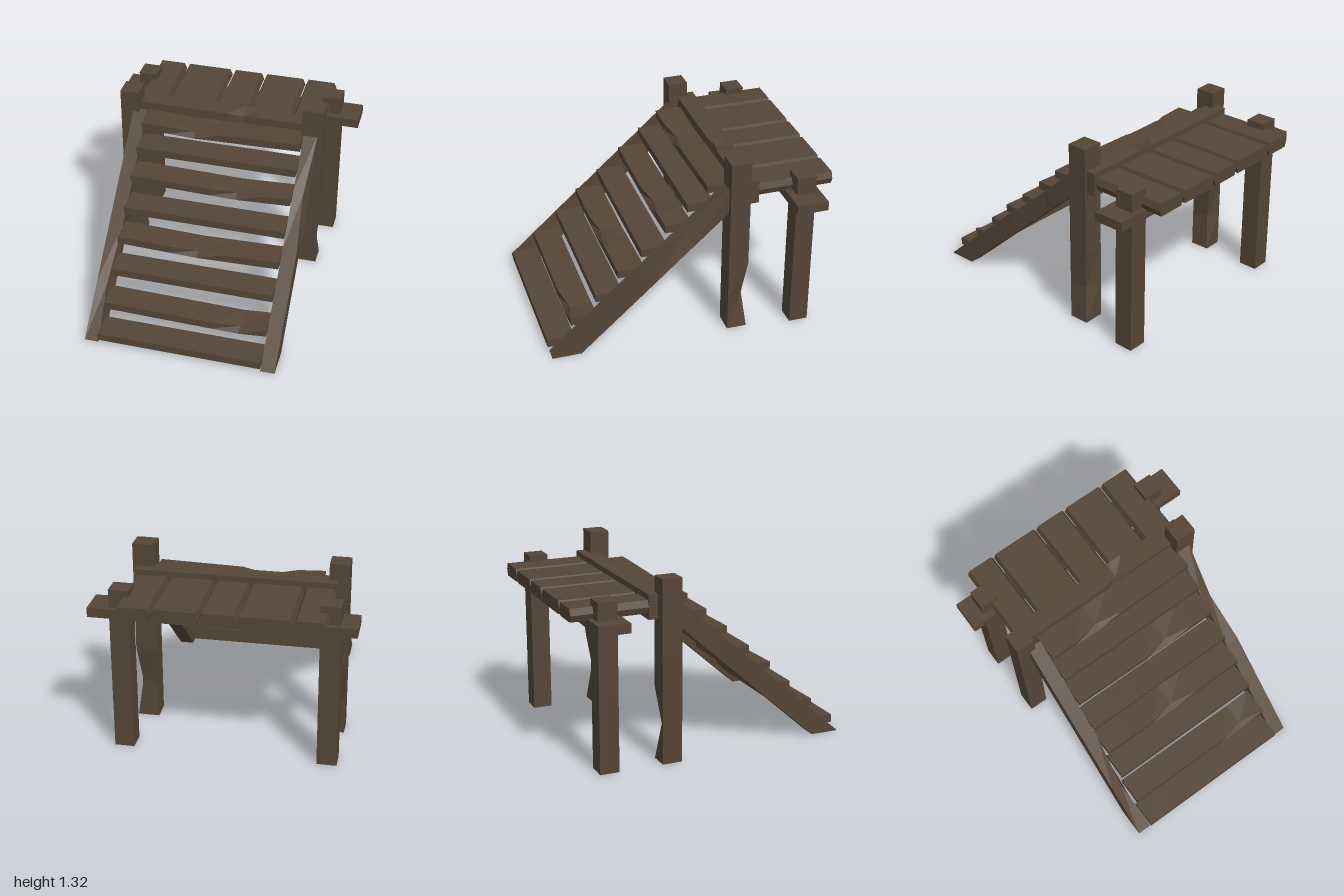
import * as THREE from 'three';

const wood = new THREE.MeshStandardMaterial({ color: 0x554536 });
wood.name = 'dark wood';

// Box between two corners, subdivided, with each vertex moved by a rule; faceted normals
function timber(name, [x0, y0, z0], [x1, y1, z1], segs = [1, 1, 1], rule) {
  let geo = new THREE.BoxGeometry(x1 - x0, y1 - y0, z1 - z0, ...segs);
  geo.translate((x0 + x1) / 2, (y0 + y1) / 2, (z0 + z1) / 2);
  if (rule) {
    const pos = geo.attributes.position;
    const p = new THREE.Vector3();
    for (let i = 0; i < pos.count; i++) {
      p.fromBufferAttribute(pos, i);
      rule(p);
      pos.setXYZ(i, p.x, p.y, p.z);
    }
  }
  geo = geo.toNonIndexed();
  geo.computeVertexNormals();
  const mesh = new THREE.Mesh(geo, wood);
  mesh.name = name;
  return mesh;
}

const near = (a, b) => Math.abs(a - b) < 0.005;

export function createModel() {
  const model = new THREE.Group();
  model.name = 'woodenStairPlatform';

  // Tall front posts, chipped low on the inner back corner
  for (const [name, x0, x1, top] of [['frontPostRight', -0.78, -0.645, 1.27], ['frontPostLeft', 0.55, 0.7, 1.315]]) {
    model.add(timber(name, [x0, 0, -0.4], [x1, top, -0.26], [1, 5, 1], p => {
      if (near(p.y, top / 5) && near(p.x, x1) && near(p.z, -0.4)) {
        p.x -= 0.035;
        p.z += 0.035;
      }
    }));
  }

  // Back posts and the beam they carry
  model.add(timber('backPostRight', [-0.78, 0, -0.845], [-0.645, 1.165, -0.71]));
  model.add(timber('backPostLeft', [0.615, 0, -0.845], [0.75, 1.165, -0.71]));
  model.add(timber('backBeam', [-0.89, 0.975, -0.88], [0.89, 1.04, -0.66]));

  // Front beam with a chip in its upper front edge
  model.add(timber('frontBeam', [-0.705, 0.99, -0.465], [0.68, 1.158, -0.33], [12, 1, 1], p => {
    if (near(p.x, 0.103) && p.y > 1.1 && p.z > -0.4) {
      p.y -= 0.03;
      p.z -= 0.035;
    }
  }));

  // Deck planks with bevelled long edges
  const edges = [-0.71, -0.49, -0.13, 0.115, 0.432, 0.67];
  for (let i = 0; i < 5; i++) {
    const x0 = edges[i] + 0.003, x1 = edges[i + 1] - 0.003;
    const mid = (x0 + x1) / 2;
    model.add(timber('deckPlank' + (i + 1), [x0, 1.03, -1], [x1, 1.12, -0.44], [1, 2, 1], p => {
      if (!near(p.y, 1.075)) p.x -= Math.sign(p.x - mid) * 0.018;
    }));
  }

  // Sloping stringers: level cut at the ground, one chipped upper edge each
  for (const [name, x0, x1, chipT, chipX] of [
    ['stringerRight', -0.69, -0.59, 0.25, -0.59], ['stringerLeft', 0.565, 0.665, 0.75, 0.665]]) {
    model.add(timber(name, [x0, 0, 0], [x1, 1, 1], [1, 1, 4], p => {
      const t = 1 - p.z, upper = p.y > 0.5;
      const chip = upper && near(t, chipT) && near(p.x, chipX);
      p.y = t * (upper ? 1.13 : 0.95);
      p.z = THREE.MathUtils.lerp(upper ? 0.99 : 0.785, -0.28, t);
      if (chip) {
        p.x += p.x > 0 ? -0.03 : 0.0 - 0.03;
        p.y -= 0.025;
      }
    }));
  }

  // Treads: front z, top y, then for the warped ones where the sag is deepest
  const treads = [
    [1, 0.083], [0.83, 0.229, 0.3725], [0.65, 0.386], [0.49, 0.549, -0.0125],
    [0.325, 0.688], [0.155, 0.847, 0.18], [0, 0.985], [-0.14, 1.107, -0.205],
  ];
  treads.forEach(([z, y, low], i) => {
    model.add(timber('tread' + (i + 1), [-0.59, y - 0.055, z - 0.19], [0.565, y, z], [6, 1, 1], p => {
      if (low === undefined) return;
      const chip = near(p.x, low) && p.y > y - 0.02 && p.z > z - 0.02;
      const span = p.x < low ? low + 0.59 : 0.565 - low;
      p.y -= 0.018 * (1 - Math.abs(p.x - low) / span);
      if (chip) {
        p.y -= 0.018;
        p.z -= 0.04;
      }
    }));
  });

  return model;
}
